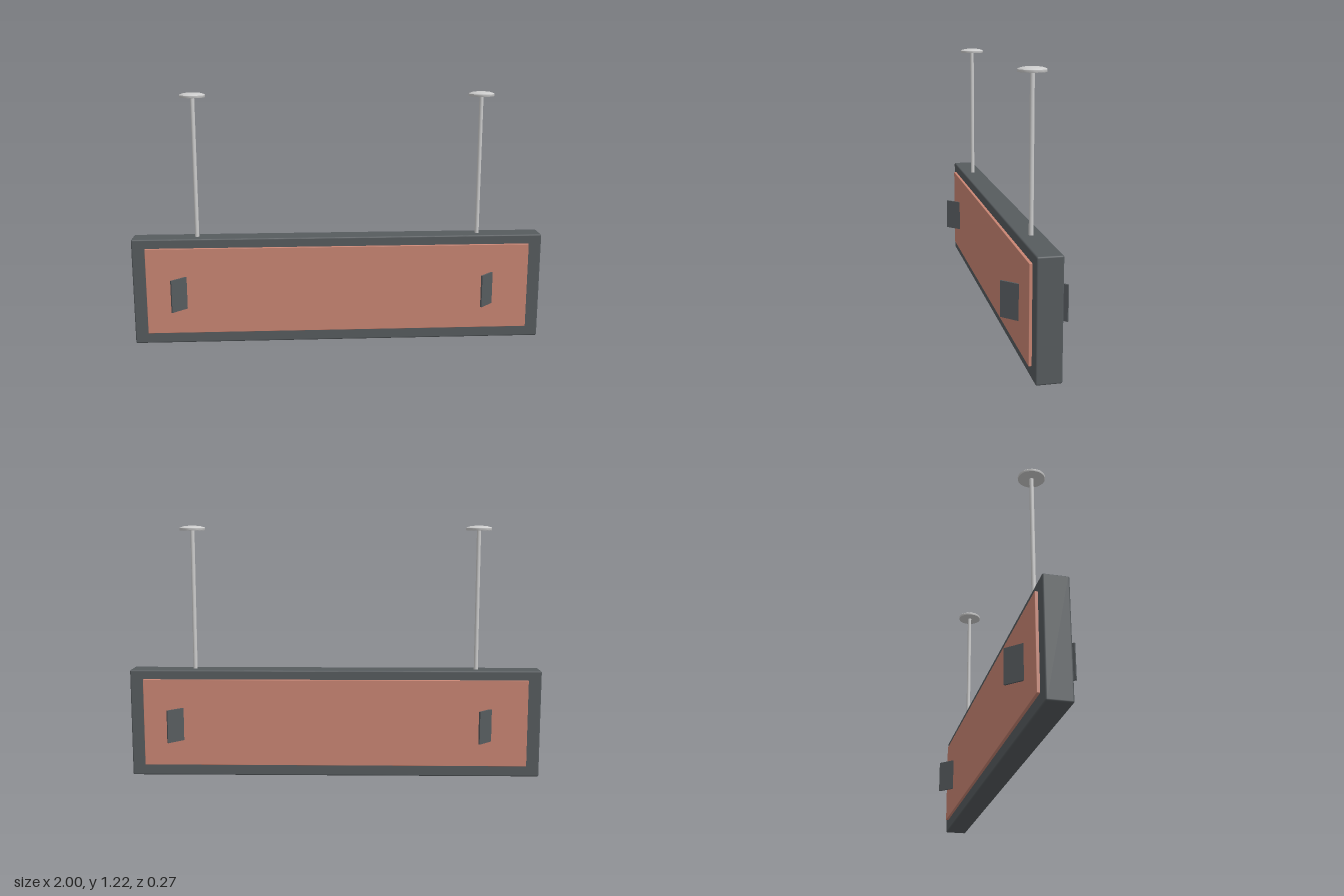
import * as THREE from 'three';
import { RoundedBoxGeometry } from 'three/addons/geometries/RoundedBoxGeometry.js';
import { toCreasedNormals } from 'three/addons/utils/BufferGeometryUtils.js';

const dark = new THREE.MeshStandardMaterial({ color: 0x565b5e });
const red = new THREE.MeshStandardMaterial({ color: 0xc98573 });
const metal = new THREE.MeshStandardMaterial({ color: 0xcccccc });

function add(parent, name, geometry, material, x, y, z) {
  const mesh = new THREE.Mesh(geometry, material);
  mesh.name = name;
  mesh.position.set(x, y, z);
  parent.add(mesh);
  return mesh;
}

export function createModel() {
  const model = new THREE.Group();
  model.name = 'hangingSign';

  // Sign casing with softened edges
  add(model, 'casing', new RoundedBoxGeometry(2, 0.525, 0.11, 2, 0.007), dark, 0, 0.2625, 0);

  // One face, built for the front and turned round for the back
  for (const side of ['front', 'back']) {
    const face = new THREE.Group();
    face.name = side + 'Face';
    if (side === 'back') face.rotation.y = Math.PI;
    model.add(face);
    add(face, 'panel', new RoundedBoxGeometry(1.87, 0.425, 0.02, 1, 0.002), red, 0, 0.2675, 0.058);

    // Slanted fins standing out of the panel
    for (const x of [-0.772, 0.728]) {
      const fin = add(face, 'fin', new THREE.BoxGeometry(0.1, 0.16, 0.008), dark, x, 0.26, 0.095);
      fin.rotation.y = Math.PI / 4;
    }
  }

  // Ceiling rods with domed caps
  const capProfile = [[0, 0], [0.06, 0], [0.061, 0.002], [0.061, 0.011], [0.058, 0.014],
    [0.042, 0.019], [0.02, 0.0215], [0, 0.022]].map(([r, y]) => new THREE.Vector2(r, y));
  const capGeometry = toCreasedNormals(new THREE.LatheGeometry(capProfile, 32), 0.6);
  for (const x of [-0.688, 0.688]) {
    add(model, 'rod', new THREE.CylinderGeometry(0.01, 0.01, 0.69, 16), metal, x, 0.857, 0);
    add(model, 'ceilingCap', capGeometry, metal, x, 1.199, 0);
  }
  return model;
}
